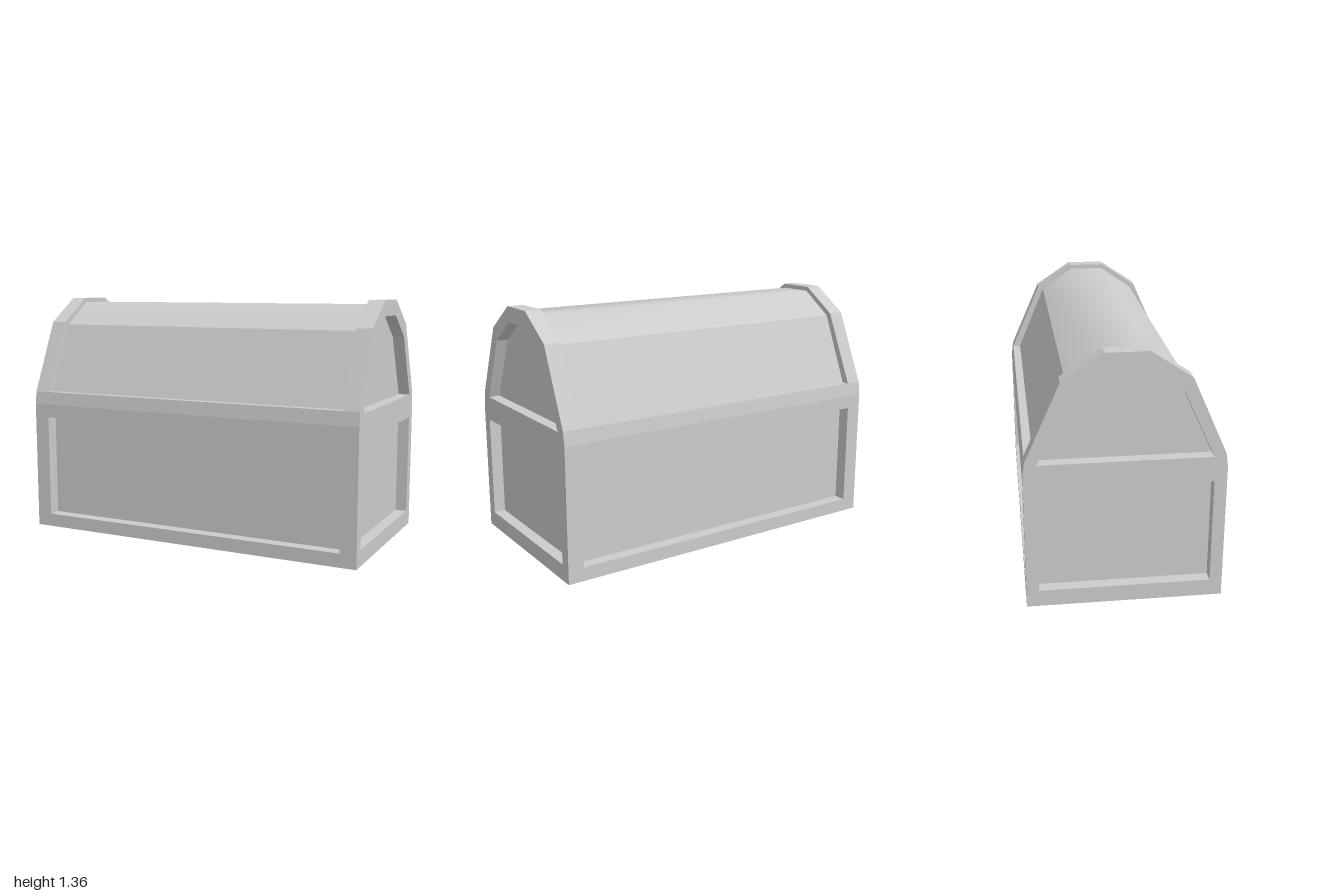
import * as THREE from 'three';
import { mergeGeometries } from 'three/addons/utils/BufferGeometryUtils.js';

const material = new THREE.MeshStandardMaterial({ color: 0xcccccc });
const shapeOf = pts => new THREE.Shape(pts.map(p => new THREE.Vector2(...p)));
const rect = (w, y0, y1) => [[-w, y0], [w, y0], [w, y1], [-w, y1]];
// mirrors a half outline running up the + side into the full outline
const mirrored = half => [...half, ...half.map(([u, y]) => [-u, y]).reverse()];

// surface running along x over a (z, y) profile that goes from +z over the top to -z
function strip(profile, x0, x1, smooth = false) {
  const pos = [], index = [];
  profile.forEach(([z, y], i) => {
    pos.push(x0, y, z, x1, y, z);
    const a = i * 2;
    if (i < profile.length - 1) index.push(a, a + 1, a + 3, a, a + 3, a + 2);
  });
  let g = new THREE.BufferGeometry();
  g.setAttribute('position', new THREE.Float32BufferAttribute(pos, 3));
  g.setIndex(index);
  if (!smooth) g = g.toNonIndexed();
  g.computeVertexNormals();
  return g;
}

// flat face at z = 0 with sunken panels; every hole is listed counter-clockwise
function recessedFace(outline, holes, depth) {
  const face = shapeOf(outline);
  const parts = [];
  for (const hole of holes) {
    face.holes.push(shapeOf(hole));
    const floor = new THREE.ShapeGeometry(shapeOf(hole)).translate(0, 0, -depth);
    const pos = [];
    hole.forEach(([ax, ay], i) => {
      const [bx, by] = hole[(i + 1) % hole.length];
      pos.push(ax, ay, 0, bx, by, 0, bx, by, -depth);
      pos.push(ax, ay, 0, bx, by, -depth, ax, ay, -depth);
    });
    const walls = new THREE.BufferGeometry();
    walls.setAttribute('position', new THREE.Float32BufferAttribute(pos, 3));
    walls.computeVertexNormals();
    parts.push(floor.toNonIndexed().deleteAttribute('uv'), walls);
  }
  parts.push(new THREE.ShapeGeometry(face).toNonIndexed().deleteAttribute('uv'));
  return mergeGeometries(parts);
}

export function createModel() {
  const group = new THREE.Group();
  const add = (name, geometry) => {
    const mesh = new THREE.Mesh(geometry, material);
    mesh.name = name;
    group.add(mesh);
    return mesh;
  };

  const W = 1, D = 0.51, inner = 0.91;
  const seam = [D, 0.735], shoulder = [0.5, 0.81];
  const rim = mirrored([shoulder, [0.32, 1.215], [0.11, 1.355]]);
  const lid = mirrored([[0.455, 0.81], [0.29, 1.2], [0.1, 1.33]]);

  // front and back walls with one long sunken panel each
  const wall = recessedFace(rect(W, 0, seam[1]), [rect(inner, 0.075, 0.66)], 0.07);
  add('frontWall', wall).position.z = D;
  const back = add('backWall', wall);
  back.position.z = -D;
  back.rotation.y = Math.PI;

  // end walls with a lower panel and an arched panel under the lid
  const end = recessedFace(
    mirrored([[D, 0], seam, shoulder, [0.32, 1.215], [0.11, 1.355]]),
    [rect(0.445, 0.09, 0.66), mirrored([[0.44, 0.795], [0.28, 1.145], [0.1, 1.27]])],
    0.065);

  // inner faces of the raised lid rims
  const rimFace = new THREE.ShapeGeometry(shapeOf([...rim, ...lid.slice().reverse()]));

  for (const [side, s] of [['left', 1], ['right', -1]]) {
    const wallEnd = add(side + 'EndWall', end);
    wallEnd.position.x = s * W;
    wallEnd.rotation.y = s * Math.PI / 2;
    const face = add(side + 'RimInnerFace', rimFace);
    face.position.x = s * inner;
    face.rotation.y = -s * Math.PI / 2;
    add(side + 'Rim', strip(rim, s > 0 ? inner : -W, s > 0 ? W : -inner));
  }

  // sloping bands, ledges and lid sides, front and back
  const flip = pts => pts.map(([z, y]) => [-z, y]).reverse();
  for (const [side, f] of [['front', p => p], ['back', flip]]) {
    add(side + 'Band', strip(f([seam, shoulder]), -W, W));
    add(side + 'Ledge', strip(f([shoulder, lid[0]]), -inner, inner));
    add(side + 'LidSide', strip(f([lid[0], lid[1]]), -inner, inner));
  }

  // softly shaded lid top and flat underside
  add('lidTop', strip(lid.slice(1, -1), -inner, inner, true));
  add('bottom', strip([[-D, 0], [D, 0]], -W, W));
  return group;
}
